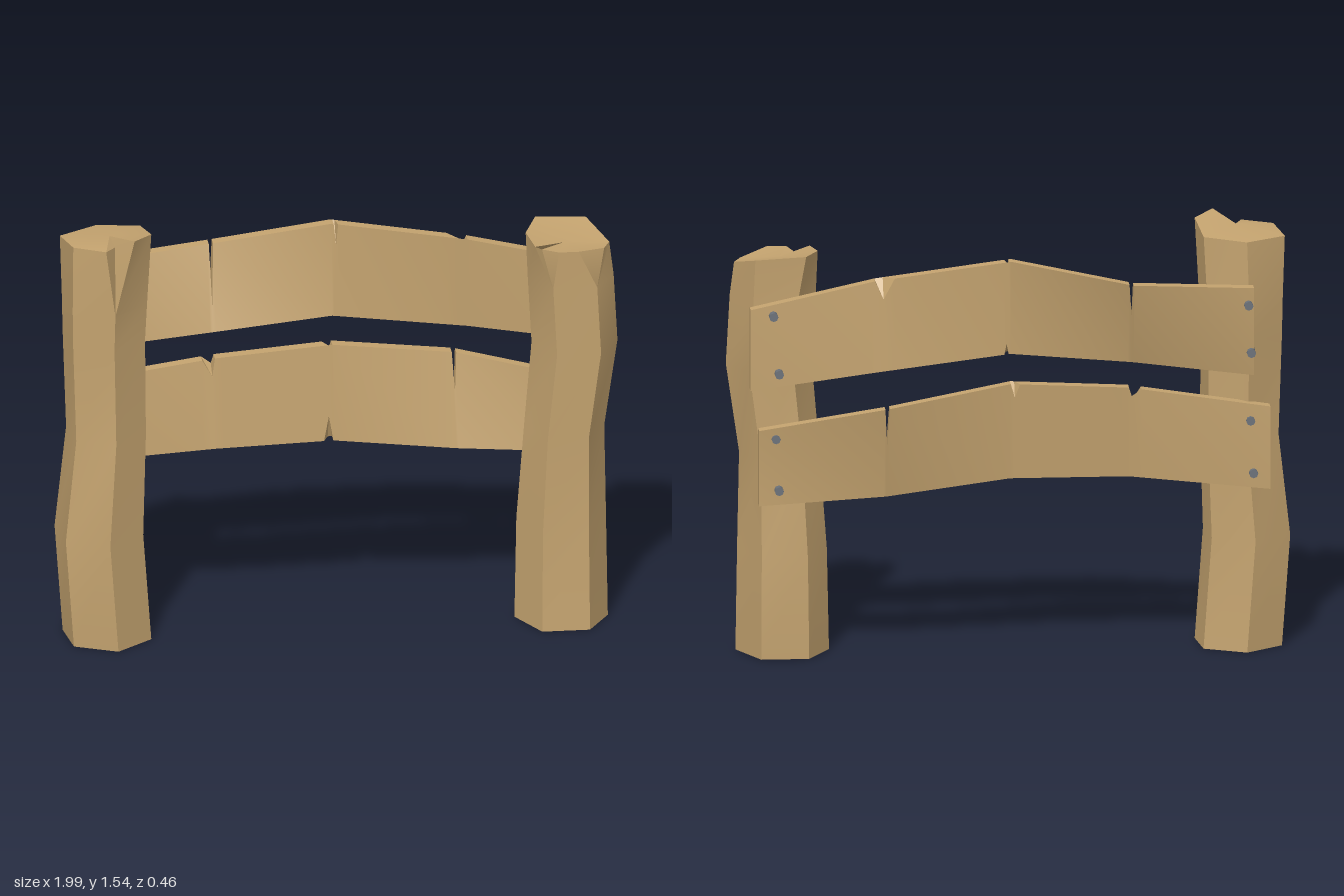
import * as THREE from 'three';
import { toCreasedNormals } from 'three/addons/utils/BufferGeometryUtils.js';

const wood = new THREE.MeshStandardMaterial({ color: 0xc4a36f });
const metal = new THREE.MeshStandardMaterial({ color: 0x6c727a });

// Skin a row of equal-length rings, closing both ends with fans
function loft(rings, endLift = 0) {
  const out = [];
  const tri = (a, b, c) => {
    const area = new THREE.Triangle(a, b, c).getArea();
    if (area > 1e-7) for (const p of [a, b, c]) out.push(p.x, p.y, p.z);
  };
  const centre = (ring) =>
    ring.reduce((s, p) => s.add(p), new THREE.Vector3()).divideScalar(ring.length);
  const n = rings[0].length;
  const first = rings[0], last = rings[rings.length - 1];
  const c0 = centre(first), c1 = centre(last);
  c1.y += endLift;
  for (let i = 0; i < n; i++) {
    const j = (i + 1) % n;
    for (let r = 0; r < rings.length - 1; r++) {
      const a = rings[r], b = rings[r + 1];
      tri(a[i], a[j], b[j]);
      tri(a[i], b[j], b[i]);
    }
    tri(c0, first[j], first[i]);
    tri(c1, last[i], last[j]);
  }
  const geo = new THREE.BufferGeometry();
  geo.setAttribute('position', new THREE.Float32BufferAttribute(out, 3));
  return toCreasedNormals(geo, 0.42);
}

// Six-sided post: a hexagon shifted and scaled per level, with a chipped top.
// "split" says how many top points each hexagon corner opens into.
function makePost(name, { hex, levels, split, top, lift }) {
  const rings = levels.map(([y, cx, cz, s]) =>
    hex.flatMap(([x, z], i) =>
      Array.from({ length: split[i] }, () => new THREE.Vector3(cx + x * s, y, cz + z * s))));
  rings.push(top.map((p) => new THREE.Vector3(...p)));
  const mesh = new THREE.Mesh(loft(rings, lift), wood);
  mesh.name = name;
  return mesh;
}

// Twisted plank: sections are [x, topY, bottomY, topZ, bottomZ] of the mid-plane.
// Notches are [x, halfWidth, frontTop, backTop, frontBottom, backBottom] depths.
function makePlank(name, sections, notches) {
  const half = 0.022;
  const at = (x) => {
    const k = Math.max(1, sections.findIndex((s) => s[0] >= x - 1e-6));
    const a = sections[k - 1], b = sections[k];
    const t = (x - a[0]) / (b[0] - a[0]);
    return a.map((v, i) => v + (b[i] - v) * t);
  };
  const xs = new Set(sections.map((s) => s[0]));
  for (const [x, w] of notches) [x - w, x, x + w].forEach((v) => xs.add(v));
  const rings = [...xs].sort((a, b) => a - b).map((x) => {
    const [, ty, by, tz, bz] = at(x);
    const [, , ft, bt, fb, bb] = notches.find((n) => n[0] === x) || [0, 0, 0, 0, 0, 0];
    const point = (y, side) => {
      const t = (y - by) / (ty - by);
      return new THREE.Vector3(x, y, bz + (tz - bz) * t + side * half);
    };
    return [point(ty - ft, 1), point(by + fb, 1), point(by + bb, -1), point(ty - bt, -1)];
  });
  const mesh = new THREE.Mesh(loft(rings), wood);
  mesh.name = name;
  return mesh;
}

export function createModel() {
  const model = new THREE.Group();
  model.name = 'fence';

  // Posts
  model.add(makePost('rightPost', {
    hex: [[-0.13, 0.1], [0.02, 0.17], [0.15, 0.06], [0.13, -0.1], [-0.02, -0.17], [-0.15, -0.07]],
    levels: [
      [0, -0.82, 0.05, 1],
      [0.4, -0.85, 0.06, 1],
      [0.77, -0.823, 0.045, 0.9],
      [1.13, -0.83, 0.04, 0.93],
      [1.26, -0.828, 0.04, 0.96],
    ],
    split: [1, 3, 1, 1, 1, 1],
    top: [
      [-0.95, 1.5, 0.13], [-0.84, 1.5, 0.19], [-0.8, 1.49, 0.12], [-0.74, 1.54, 0.2],
      [-0.67, 1.53, 0.11], [-0.69, 1.5, -0.06], [-0.84, 1.49, -0.11], [-0.98, 1.49, -0.02],
    ],
    lift: 0.01,
  }));
  model.add(makePost('leftPost', {
    hex: [[-0.085, 0.15], [0.085, 0.15], [0.165, 0.01], [0.085, -0.15], [-0.085, -0.15], [-0.165, -0.01]],
    levels: [
      [0, 0.795, 0.05, 1],
      [0.37, 0.797, 0.035, 0.96],
      [0.72, 0.805, 0.055, 0.86],
      [1.04, 0.842, 0.055, 0.92],
      [1.29, 0.828, 0.058, 0.92],
    ],
    split: [3, 2, 1, 1, 1, 1],
    top: [
      [0.69, 1.44, 0.16], [0.72, 1.41, 0.11], [0.77, 1.43, 0.2], [0.84, 1.43, 0.2],
      [0.94, 1.41, 0.12], [0.965, 1.41, 0.06], [0.9, 1.45, -0.09], [0.72, 1.46, -0.09],
      [0.67, 1.45, 0.04],
    ],
    lift: -0.01,
  }));

  // Planks
  model.add(makePlank('upperPlank', [
    [-0.86, 1.34, 1.02, -0.155, -0.14],
    [-0.43, 1.37, 1.07, -0.21, -0.12],
    [0, 1.45, 1.11, -0.15, -0.13],
    [0.48, 1.38, 1.05, -0.12, -0.13],
    [0.92, 1.28, 0.985, -0.11, -0.105],
  ], [
    [-0.425, 0.01, 0.21, 0.12, 0, 0],
    [0.015, 0.008, 0.08, 0, 0, 0.04],
    [0.45, 0.04, 0, 0.07, 0, 0],
  ]));
  model.add(makePlank('lowerPlank', [
    [-0.92, 0.9, 0.6, -0.12, -0.12],
    [-0.42, 0.975, 0.645, -0.11, -0.08],
    [0, 1, 0.65, -0.13, -0.1],
    [0.44, 0.93, 0.595, -0.19, -0.115],
    [0.89, 0.84, 0.565, -0.11, -0.105],
  ], [
    [-0.43, 0.035, 0.065, 0.03, 0, 0],
    [-0.015, 0.018, 0, 0.05, 0.09, 0],
    [0.44, 0.008, 0.14, 0.14, 0, 0],
  ]));

  // Bolts through the planks: [x, y, z of the outer end]
  const bolts = [
    [-0.84, 1.28, -0.2], [-0.85, 1.105, -0.19], [0.84, 1.26, -0.165], [0.82, 1.05, -0.165],
    [-0.85, 0.85, -0.155], [-0.86, 0.66, -0.16], [0.83, 0.81, -0.145], [0.82, 0.625, -0.16],
  ];
  const boltGeo = new THREE.CylinderGeometry(0.016, 0.016, 0.1, 8).rotateX(Math.PI / 2);
  for (const [x, y, z] of bolts) {
    const bolt = new THREE.Mesh(toCreasedNormals(boltGeo, 0.9), metal);
    bolt.name = 'bolt';
    bolt.position.set(x, y, z + 0.05);
    model.add(bolt);
  }
  return model;
}
